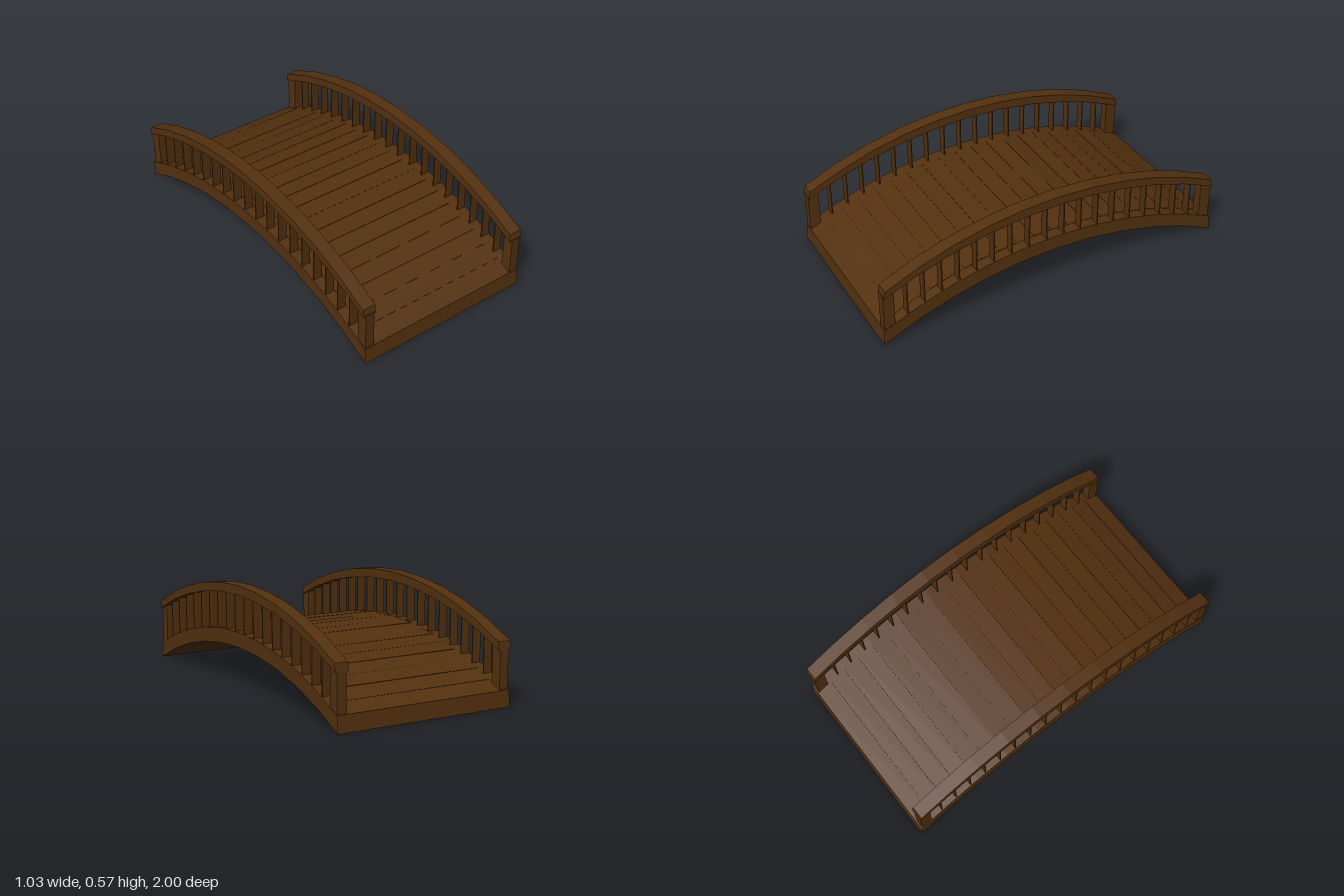
import * as THREE from 'three';

const SEGMENTS = 10;

// Points (z, y) along a faceted arc from the back end to the front end
function arc(crown, drop, half) {
  const radius = (half * half + drop * drop) / (2 * drop);
  const span = Math.asin(half / radius);
  return Array.from({ length: SEGMENTS + 1 }, (_, i) => {
    const a = span * (2 * i / SEGMENTS - 1);
    return new THREE.Vector2(radius * Math.sin(a), crown - radius * (1 - Math.cos(a)));
  });
}

// Height of a faceted arc at a given z
function heightAt(points, z) {
  for (let i = 1; i < points.length; i++) {
    const a = points[i - 1], b = points[i];
    if (z <= b.x || i === points.length - 1) return a.y + (b.y - a.y) * (z - a.x) / (b.x - a.x);
  }
}

// Closed side profile between two arcs, extruded across the bridge
function archGeometry(upper, lower, x0, x1) {
  const shape = new THREE.Shape([...lower, ...[...upper].reverse()]);
  const geo = new THREE.ExtrudeGeometry(shape, { depth: x1 - x0, bevelEnabled: false });
  geo.rotateY(-Math.PI / 2);
  geo.translate(x1, 0, 0);
  return geo;
}

export function createModel() {
  const group = new THREE.Group();
  group.name = 'archedFootbridge';
  const wood = new THREE.MeshStandardMaterial({ color: 0x54310f, flatShading: true });
  wood.name = 'darkWood';

  function add(parent, name, geo, x = 0, y = 0, z = 0) {
    const mesh = new THREE.Mesh(geo, wood);
    mesh.name = name;
    mesh.position.set(x, y, z);
    parent.add(mesh);
    return mesh;
  }

  const deckTop = arc(0.316, 0.228, 0.992);
  const deckBottom = arc(0.235, 0.235, 1);
  const railTop = arc(0.568, 0.228, 0.98);
  const railBottom = arc(0.517, 0.222, 0.988);

  // Arched deck
  add(group, 'deck', archGeometry(deckTop, deckBottom, -0.51, 0.51));

  // Deck boards, two to a facet, each laid very slightly unevenly
  let seed = 7;
  const jitter = () => {
    seed = (seed * 16807) % 2147483647;
    return seed / 2147483647 - 0.5;
  };
  for (let i = 0; i < SEGMENTS; i++) {
    const a = deckTop[i], b = deckTop[i + 1];
    const length = a.distanceTo(b);
    for (const t of [0.25, 0.75]) {
      const p = a.clone().lerp(b, t);
      const board = add(group, 'deckBoard', new THREE.BoxGeometry(0.9, 0.01, length / 2 - 0.002),
        0, p.y - 0.003 + jitter() * 0.002, p.x);
      board.rotation.set(-Math.atan2(b.y - a.y, b.x - a.x), 0, jitter() * 0.004);
    }
  }

  // Railings on both sides
  for (const side of [-1, 1]) {
    const railing = new THREE.Group();
    railing.name = side > 0 ? 'leftRailing' : 'rightRailing';
    group.add(railing);
    const x = side * 0.48;

    add(railing, 'handrail', archGeometry(railTop, railBottom, x - 0.037, x + 0.037));

    // Square end posts with tops and feet cut to the slope
    for (const end of [-1, 1]) {
      const zs = end > 0 ? [0.93, 0.99] : [-0.985, -0.92];
      const top = zs.map(z => new THREE.Vector2(z, heightAt(railBottom, z) + 0.008));
      const foot = zs.map(z => new THREE.Vector2(z, heightAt(deckTop, z) - 0.01));
      add(railing, 'endPost', archGeometry(top, foot, x - 0.026, x + 0.026));
    }

    // Thin flat balusters, evenly spaced along the arc
    for (let i = 0; i < 18; i++) {
      const z = 2.245 * Math.sin((i - 8.5) * 0.0458) + 0.005;
      const y0 = heightAt(deckTop, z) - 0.01;
      const y1 = heightAt(railBottom, z) + 0.01;
      add(railing, 'baluster', new THREE.BoxGeometry(0.05, y1 - y0, 0.006), x, (y0 + y1) / 2, z);
    }
  }
  return group;
}
